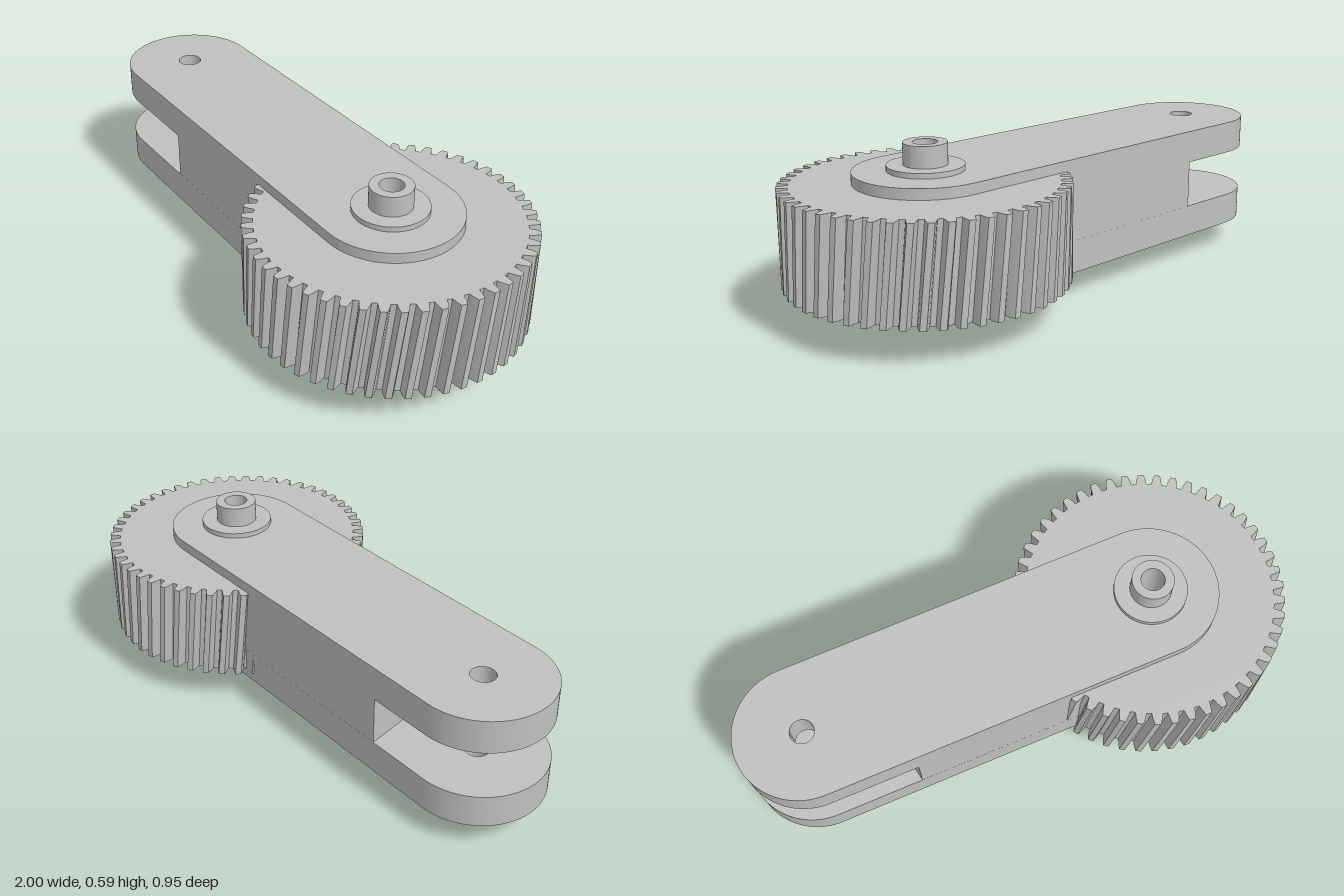
import * as THREE from 'three';
import { toCreasedNormals } from 'three/addons/utils/BufferGeometryUtils.js';

const PIVOT = { x: -0.765, y: 0.025, r: 0.235 }; // fork end (shape y = -z)
const AXLE = { x: 0.52, y: 0, r: 0.24 };         // gear end

// Extrude a plan shape upwards between two heights
function slab(shape, y0, y1, steps = 1) {
  const g = new THREE.ExtrudeGeometry(shape, { depth: y1 - y0, bevelEnabled: false, curveSegments: 40, steps });
  g.rotateX(-Math.PI / 2);
  g.translate(0, y0, 0);
  return g;
}

function addHole(shape, x, y, r) {
  const hole = new THREE.Path();
  hole.absarc(x, y, r, 0, Math.PI * 2, true);
  shape.holes.push(hole);
}

// Tangent angles shared by the two rounded ends of the arm
const dx = AXLE.x - PIVOT.x, dy = AXLE.y - PIVOT.y;
const tilt = Math.atan2(dy, dx);
const spread = Math.acos((AXLE.r - PIVOT.r) / -Math.hypot(dx, dy));

function armShape(forked) {
  const s = new THREE.Shape();
  if (!forked) {
    // solid web, closed by the slanted end wall of the slot
    s.moveTo(-0.53, 0.256);
    s.lineTo(-0.455, -0.217);
  }
  s.absarc(AXLE.x, AXLE.y, AXLE.r, tilt - spread, tilt + spread, false);
  if (forked) {
    s.absarc(PIVOT.x, PIVOT.y, PIVOT.r, tilt + spread, tilt - spread + Math.PI * 2, false);
    addHole(s, PIVOT.x, PIVOT.y, 0.042);
  }
  s.closePath();
  addHole(s, AXLE.x, AXLE.y, 0.065);
  return s;
}

// Helical gear: toothed outline, turned steadily with height
function gearGeometry() {
  const teeth = 50, root = 0.438, tip = 0.476, y0 = 0.13, y1 = 0.46, twist = 0.07;
  const tooth = [[-0.34, root], [-0.28, 0.456], [-0.17, tip], [0.17, tip], [0.28, 0.456], [0.34, root]];
  const pts = [];
  for (let i = 0; i < teeth; i++) {
    for (const [f, r] of tooth) {
      const a = ((i + f) / teeth) * Math.PI * 2;
      pts.push(new THREE.Vector2(r * Math.cos(a), r * Math.sin(a)));
    }
  }
  const shape = new THREE.Shape(pts);
  addHole(shape, 0, 0, 0.065);
  const g = slab(shape, y0, y1, 4);
  const p = g.attributes.position, v = new THREE.Vector3(), up = new THREE.Vector3(0, 1, 0);
  for (let i = 0; i < p.count; i++) {
    v.fromBufferAttribute(p, i);
    v.applyAxisAngle(up, twist * ((v.y - y0) / (y1 - y0) - 0.5));
    p.setXYZ(i, v.x, v.y, v.z);
  }
  g.computeVertexNormals();
  return toCreasedNormals(g, 0.3);
}

// Hollow round part around the axle
function ring(outer, inner, y0, y1) {
  const profile = [[inner, y0], [outer, y0], [outer, y1], [inner, y1], [inner, y0]];
  const g = new THREE.LatheGeometry(profile.map(([r, y]) => new THREE.Vector2(r, y)), 64);
  return toCreasedNormals(g, 0.5);
}

export function createModel() {
  const model = new THREE.Group();
  model.name = 'gearArm';
  const metal = new THREE.MeshStandardMaterial({ color: 0xc0c0bf });
  metal.name = 'grey metal';

  const add = (name, geometry, x = 0) => {
    const mesh = new THREE.Mesh(geometry, metal);
    mesh.name = name;
    mesh.position.x = x;
    model.add(mesh);
  };

  // Arm: two fork plates joined by a web
  add('lowerForkPlate', toCreasedNormals(slab(armShape(true), 0.095, 0.21), 0.5));
  add('armWeb', toCreasedNormals(slab(armShape(false), 0.21, 0.38), 0.5));
  add('upperForkPlate', toCreasedNormals(slab(armShape(true), 0.38, 0.497), 0.5));

  // Gear and its hollow axle with a collar on each side
  add('helicalGear', gearGeometry(), AXLE.x);
  add('hollowAxle', ring(0.073, 0.041, 0, 0.588), AXLE.x);
  add('lowerCollar', ring(0.128, 0.07, 0.075, 0.1), AXLE.x);
  add('upperCollar', ring(0.128, 0.07, 0.49, 0.515), AXLE.x);

  return model;
}
